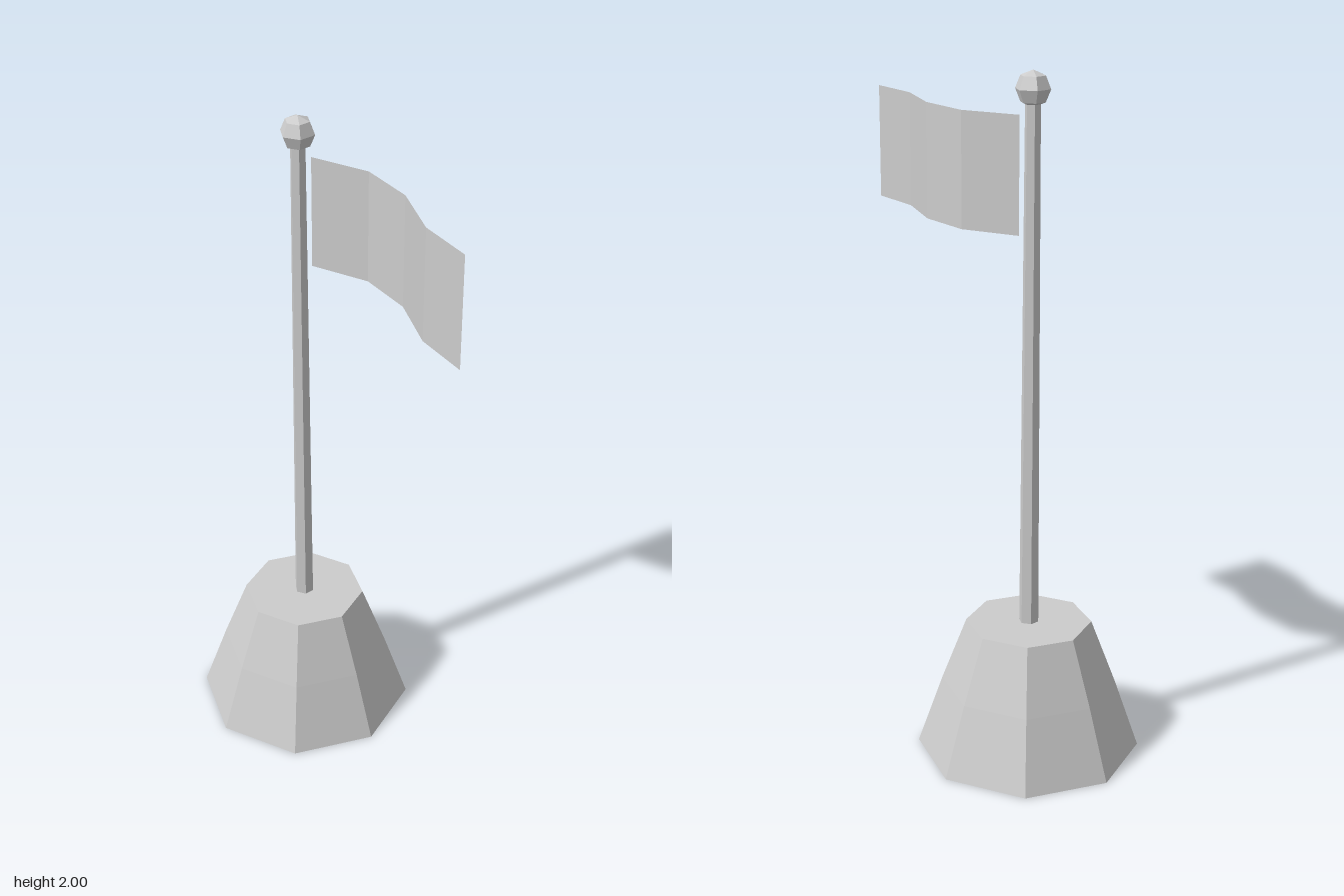
import * as THREE from 'three';

const POLE_Z = -0.18;

export function createModel() {
  const model = new THREE.Group();
  const grey = new THREE.MeshStandardMaterial({ color: 0xcccccc, flatShading: true });
  grey.name = 'grey';
  const greySheet = grey.clone(); // same colour, seen from both sides
  greySheet.side = THREE.DoubleSide;

  const add = (name, geometry, y, material = grey) => {
    const mesh = new THREE.Mesh(geometry, material);
    mesh.name = name;
    mesh.position.set(0, y, POLE_Z);
    model.add(mesh);
    return mesh;
  };

  // Eight-sided base, slightly bulged at mid height
  const profile = [[0, 0], [0.327, 0], [0.255, 0.21], [0.183, 0.4], [0, 0.4]];
  add('base', new THREE.LatheGeometry(profile.map(([r, y]) => new THREE.Vector2(r, y)), 8), 0);

  // Tapered six-sided pole with corners on the x axis
  add('pole', new THREE.CylinderGeometry(0.022, 0.029, 1.53, 6).rotateY(Math.PI / 6), 1.155);

  // Faceted ball on top
  add('finial', new THREE.SphereGeometry(0.05, 6, 4), 1.95);

  // Thin waving flag: sideways offset at even steps away from the pole
  const wave = [0.025, 0.086, 0.067, -0.012, -0.035];
  const flag = new THREE.PlaneGeometry(1, 0.33, wave.length - 1, 1);
  const pos = flag.attributes.position;
  for (let i = 0; i < pos.count; i++) {
    const step = i % wave.length;
    pos.setXYZ(i, wave[step], pos.getY(i), 0.025 + step * 0.166);
  }
  flag.computeVertexNormals();
  add('flag', flag, 1.715, greySheet);

  return model;
}
